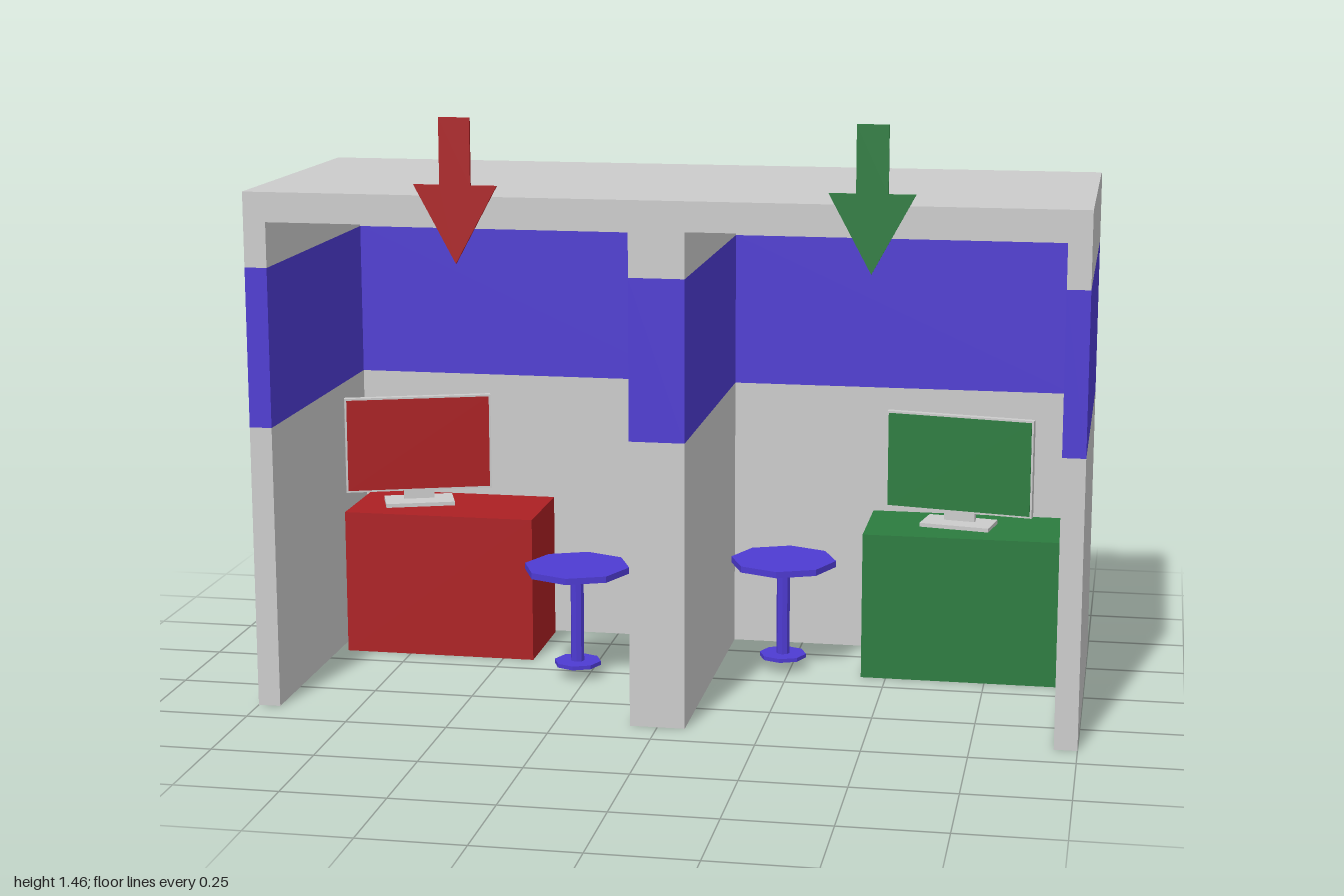
import * as THREE from 'three';

const mat = (color) => new THREE.MeshStandardMaterial({ color, flatShading: true });
const grey = mat(0xcccccc), blue = mat(0x4e3bd2), red = mat(0xac2023), green = mat(0x2b7c3f);

function add(parent, name, geometry, material, x = 0, y = 0, z = 0) {
  const mesh = new THREE.Mesh(geometry, material);
  mesh.name = name;
  mesh.position.set(x, y, z);
  parent.add(mesh);
  return mesh;
}

const toShape = (points) => new THREE.Shape(points.map(([x, y]) => new THREE.Vector2(x, y)));
const extrude = (points, depth) =>
  new THREE.ExtrudeGeometry(toShape(points), { depth, bevelEnabled: false });

// E-shaped wall plan (x, -z): back wall, two sides and a thick divider
const FRONT = -0.41, BACK = 0.42, INNER = 0.352;
const plan = [
  [-1, FRONT], [-0.945, FRONT], [-0.945, INNER], [-0.067, INNER], [-0.067, FRONT],
  [0.067, FRONT], [0.067, INNER], [0.945, INNER], [0.945, FRONT], [1, FRONT],
  [1, BACK], [-1, BACK],
];

function createShell() {
  const shell = new THREE.Group();
  shell.name = 'boothShell';
  const layers = [
    ['lowerWalls', 0, 0.7, grey],
    ['colourBand', 0.7, 1.09, blue],
    ['upperWalls', 1.09, 1.2, grey],
  ];
  for (const [name, y0, y1, material] of layers) {
    add(shell, name, extrude(plan, y1 - y0).rotateX(-Math.PI / 2), material, 0, y0);
  }
  // Roof slab with its rear top edge sloped; profile is (-z, y)
  const profile = [[FRONT, 1.2], [BACK, 1.2], [BACK, 1.25], [0.35, 1.272], [FRONT, 1.272]];
  add(shell, 'roof', extrude(profile, 2).rotateY(Math.PI / 2), grey, -1);
  return shell;
}

function createStool(x, z) {
  const stool = new THREE.Group();
  stool.name = 'stool';
  stool.position.set(x, 0, z);
  const disc = (name, r, y0, y1) =>
    add(stool, name, new THREE.CylinderGeometry(r, r, y1 - y0, 8), blue, 0, (y0 + y1) / 2);
  disc('seat', 0.135, 0.275, 0.291);
  disc('post', 0.017, 0.04, 0.275);
  disc('foot', 0.06, 0.031, 0.041);
  return stool;
}

function createMonitor(x, z, angle, material) {
  const monitor = new THREE.Group();
  monitor.name = 'monitor';
  monitor.position.set(x, 0.375, z);
  monitor.rotation.y = angle;
  add(monitor, 'standBase', new THREE.BoxGeometry(0.18, 0.01, 0.1), grey, 0, 0.005, 0);
  add(monitor, 'standNeck', new THREE.BoxGeometry(0.08, 0.06, 0.015), grey, 0, 0.035, -0.012);
  add(monitor, 'casing', new THREE.BoxGeometry(0.383, 0.252, 0.018), grey, 0, 0.161, 0);
  add(monitor, 'screen', new THREE.BoxGeometry(0.373, 0.242, 0.004), material, 0, 0.161, 0.009);
  return monitor;
}

// Flat arrow pointing down, origin at the tip
function createArrow(x, material) {
  const half = [[0.1, 0.185], [0.037, 0.185], [0.037, 0.343]];
  const mirrored = half.map(([px, py]) => [-px, py]).reverse();
  const arrow = new THREE.Mesh(extrude([[0, 0], ...half, ...mirrored], 0.008), material);
  arrow.name = 'arrow';
  arrow.position.set(x, 1.114, 0.414);
  return arrow;
}

export function createModel() {
  const model = new THREE.Group();
  model.name = 'booth';
  model.add(createShell());

  // Contents of the two bays
  const bays = [
    { name: 'redBay', material: red, desk: -0.67, monitor: -0.758, angle: 0.34, stool: [-0.277, 0.035], arrow: -0.476 },
    { name: 'greenBay', material: green, desk: 0.687, monitor: 0.668, angle: -0.18, stool: [0.23, -0.12], arrow: 0.502 },
  ];
  for (const bay of bays) {
    const group = new THREE.Group();
    group.name = bay.name;
    add(group, 'desk', new THREE.BoxGeometry(0.5, 0.375, 0.26), bay.material, bay.desk, 0.1875, -0.205);
    group.add(
      createMonitor(bay.monitor, -0.215, bay.angle, bay.material),
      createStool(...bay.stool),
      createArrow(bay.arrow, bay.material),
    );
    model.add(group);
  }
  return model;
}
